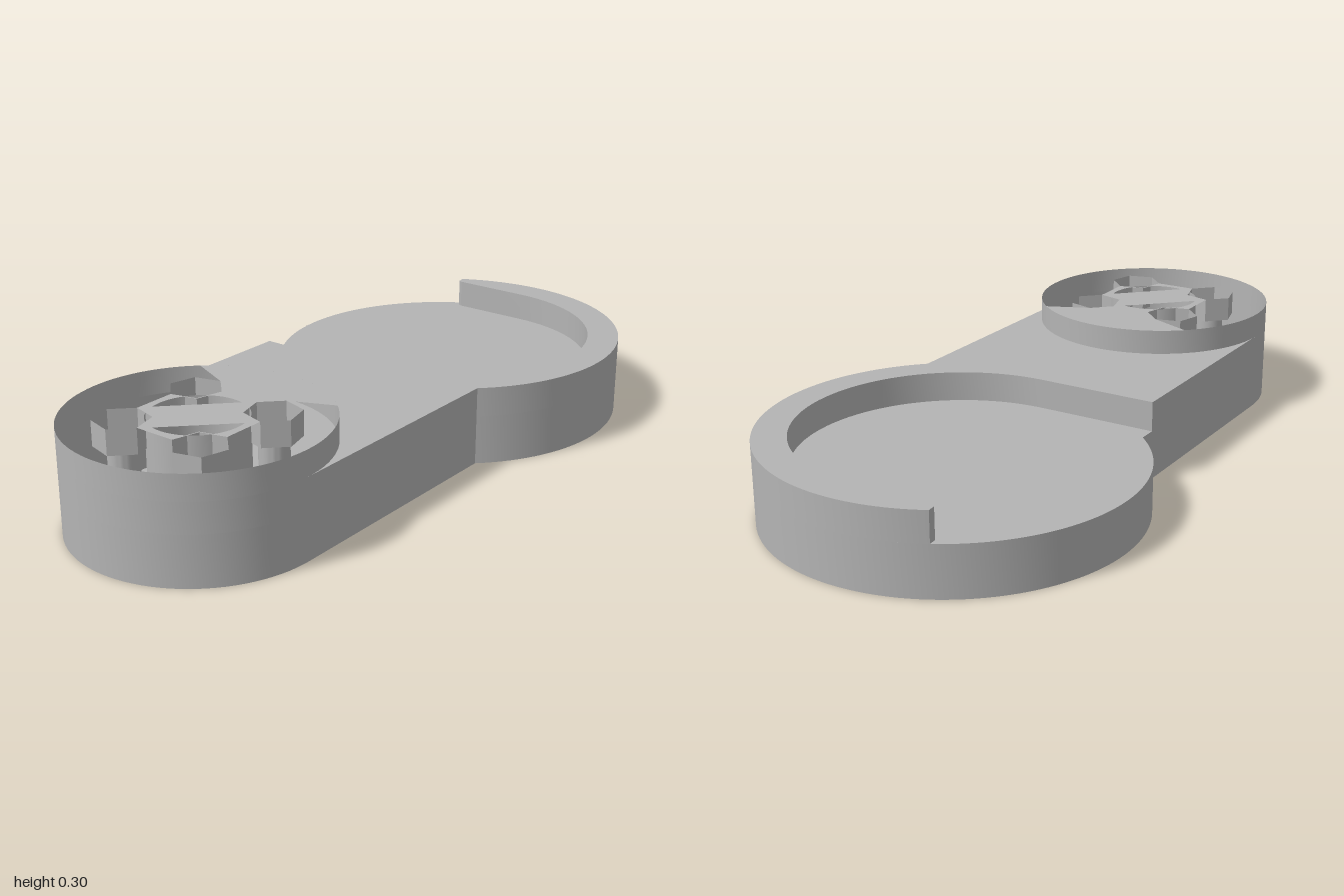
import * as THREE from 'three';
import { toCreasedNormals } from 'three/addons/utils/BufferGeometryUtils.js';

const PI = Math.PI;
const FLOOR = 0.143, DECK = 0.228, RIM = 0.3;      // pocket floor, arm top, cup rim
const DX = 0.478, DR = 0.521;                      // large disc
const CX = -0.643, CR = 0.357;                     // small cup
const HOLE = 0.135, SCREW = 0.042, HEX = 0.077, OFF = 0.135;

// Points are [x, z]; angles run from +x towards +z
const arc = (cx, cz, r, a0, a1, n = 48) => Array.from({ length: n + 1 }, (_, i) => {
  const a = a0 + (a1 - a0) * i / n;
  return [cx + r * Math.cos(a), cz + r * Math.sin(a)];
});
const circle = (cx, cz, r, n = 64) => arc(cx, cz, r, 0, 2 * PI * (1 - 1 / n), n - 1);

// Horizontal face at height y
function face(points, y, holes = [], down = false) {
  const v = p => new THREE.Vector2(p[0], -p[1]);
  const shape = new THREE.Shape(points.map(v));
  holes.forEach(h => shape.holes.push(new THREE.Path(h.map(v))));
  const g = new THREE.ShapeGeometry(shape);
  if (down) {
    const ix = g.index.array;
    for (let i = 0; i < ix.length; i += 3) [ix[i], ix[i + 1]] = [ix[i + 1], ix[i]];
    g.computeVertexNormals();
  }
  return g.rotateX(-PI / 2).translate(0, y, 0);
}

// Closed upright wall; it faces outward for rising angles
function wall(points, y0, y1) {
  const pos = [];
  points.forEach((a, i) => {
    const b = points[(i + 1) % points.length];
    pos.push(a[0], y0, a[1], b[0], y1, b[1], b[0], y0, b[1]);
    pos.push(a[0], y0, a[1], a[0], y1, a[1], b[0], y1, b[1]);
  });
  const g = new THREE.BufferGeometry();
  g.setAttribute('position', new THREE.Float32BufferAttribute(pos, 3));
  return toCreasedNormals(g, 0.4);
}

export function createModel() {
  const grey = new THREE.MeshStandardMaterial({ color: 0xb4b4b4, side: THREE.DoubleSide });
  grey.name = 'plainGrey';
  const model = new THREE.Group();
  model.name = 'mountingArm';
  const add = (name, geometry) => {
    const mesh = new THREE.Mesh(geometry, grey);
    mesh.name = name;
    model.add(mesh);
  };

  // Outlines
  const joint = PI - Math.asin(CR / DR);
  const tip = -Math.asin(0.25 / DR);
  const cupBack = arc(CX, 0, CR, PI / 2, 1.5 * PI);
  const cupFront = arc(CX, 0, CR, PI / 2, -PI / 2);
  const pocket = [[0.045, -CR], ...arc(0.475, 0, 0.43, PI, 0), [0.905, -0.235], [0.912, -0.248]];
  const discFront = arc(DX, 0, DR, tip, joint, 72);
  const fullOutline = [...arc(DX, 0, DR, -joint, joint, 96), ...cupBack];

  // Body: underside, walls, pocket floor and deck
  const screws = [];
  for (const sx of [-1, 1]) for (const sz of [-1, 1]) screws.push([CX + sx * OFF, sz * OFF, Math.atan2(sz, sx)]);
  const bore = circle(CX, 0, HOLE);
  const screwHoles = screws.map(([x, z]) => circle(x, z, SCREW, 32));
  add('underside', face(fullOutline, 0, [bore, ...screwHoles], true));
  add('lowerWall', wall(fullOutline, 0, FLOOR));
  add('upperWall', wall([...discFront, ...cupBack, ...pocket], FLOOR, DECK));
  add('pocketFloor', face([...pocket, ...arc(DX, 0, DR, tip, -joint)], FLOOR));
  add('deck', face([...discFront, ...cupFront, ...pocket], DECK));

  // Cup rim and central bore
  add('cupRim', wall(circle(CX, 0, CR, 96), DECK, RIM));
  add('centralBore', wall(bore.slice().reverse(), 0, RIM));

  // Nut pockets with screw holes below; one corner of each points away from the centre
  const corner = (s, k) => [s[0] + HEX * Math.cos(s[2] + k * PI / 3), s[1] + HEX * Math.sin(s[2] + k * PI / 3)];
  screws.forEach((s, i) => {
    const hex = [0, 1, 2, 3, 4, 5].map(k => corner(s, k));
    add('nutPocketWall', wall(hex.slice().reverse(), DECK, RIM));
    add('nutPocketFloor', face(hex, DECK, [screwHoles[i]]));
    add('screwHole', wall(screwHoles[i].slice().reverse(), 0, DECK));
  });

  // Top web between the nut pockets, fanning out to the rim, with two openings beside a diagonal strip
  const [bl, fl, br, fr] = screws;
  const pick = (s, ks) => ks.map(k => corner(s, k));
  const fan = Math.atan2(0.24, 0.263);
  const web = [
    ...arc(CX, 0, CR, fan, -fan, 24),
    ...pick(br, [1, 2, 3, 4]), ...pick(bl, [2, 3, 4]),
    ...pick(fl, [2, 3, 4]), ...pick(fr, [2, 3, 4, 5]),
  ];
  const half = Math.acos(0.07 / HOLE);
  const opening = dir => Array.from({ length: 25 }, (_, i) => {
    const t = half * (i / 12 - 1);
    const r = Math.min(HOLE - 0.001, 0.11 / (Math.cos(t) - Math.abs(Math.sin(t)) / Math.sqrt(3)));
    return [CX + r * Math.cos(dir + t), r * Math.sin(dir + t)];
  });
  add('topWeb', face(web, RIM, [opening(-PI / 4), opening(0.75 * PI)]));

  return model;
}
